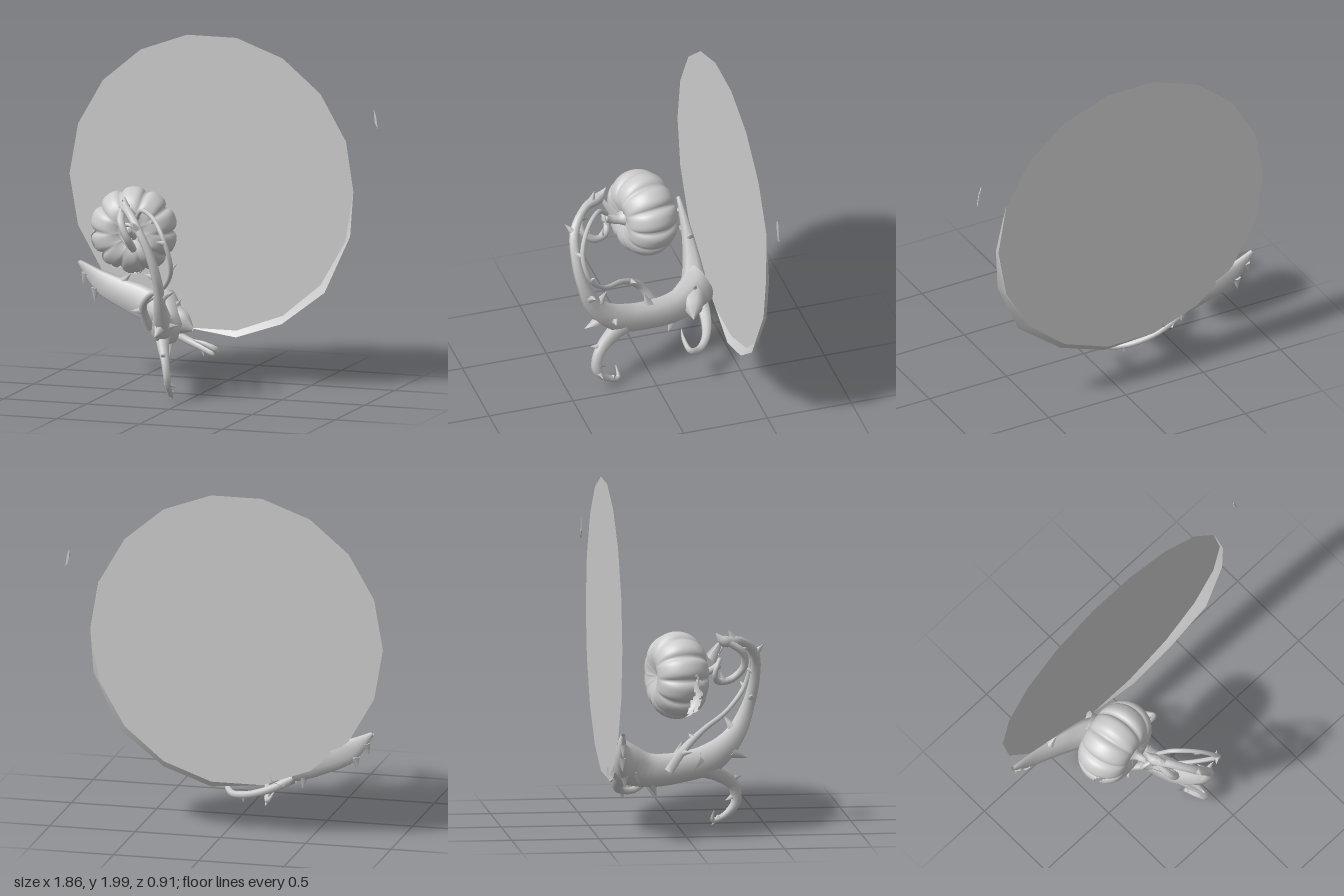
import * as THREE from 'three';

const stone = new THREE.MeshStandardMaterial({ color: 0xcccccc, side: THREE.DoubleSide });
stone.name = 'plain grey';

const V = (p) => new THREE.Vector3(...p);

function add(parent, name, geometry) {
  const mesh = new THREE.Mesh(geometry, stone);
  mesh.name = name;
  parent.add(mesh);
  return mesh;
}

function surface(positions, index) {
  const g = new THREE.BufferGeometry();
  g.setAttribute('position', new THREE.Float32BufferAttribute(positions, 3));
  g.setIndex(index);
  g.computeVertexNormals();
  return g;
}

// Tapered vine. Each station is [x, y, z, radius along ref, radius across].
// Each thorn is [t, angle around the vine, length].
function vine(parent, name, stations, ref, thorns = [], steps = 28, sides = 7) {
  const group = new THREE.Group();
  group.name = name;
  parent.add(group);
  const curve = new THREE.CatmullRomCurve3(stations.map((s) => V(s.slice(0, 3))));
  const frame = (t) => {
    const tangent = curve.getTangent(t);
    const n = V(ref).addScaledVector(tangent, -V(ref).dot(tangent)).normalize();
    const b = new THREE.Vector3().crossVectors(tangent, n);
    const f = t * (stations.length - 1);
    const i = Math.min(Math.floor(f), stations.length - 2);
    const r = [3, 4].map((k) => THREE.MathUtils.lerp(stations[i][k], stations[i + 1][k], f - i));
    return { p: curve.getPoint(t), n, b, r, tangent };
  };
  const around = (f, a) => f.n.clone().multiplyScalar(Math.cos(a) * f.r[0])
    .addScaledVector(f.b, Math.sin(a) * f.r[1]);
  const pos = [], index = [];
  for (let i = 0; i <= steps; i++) {
    const f = frame(i / steps);
    for (let j = 0; j < sides; j++) {
      pos.push(...f.p.clone().add(around(f, (j / sides) * Math.PI * 2)).toArray());
      if (i === steps) continue;
      const a = i * sides + j, b = i * sides + ((j + 1) % sides);
      index.push(a, b, a + sides, b, b + sides, a + sides);
    }
  }
  add(group, name + 'Stalk', surface(pos, index));
  for (const [t, angle, length] of thorns) {
    const f = frame(t), out = around(f, angle);
    const cone = new THREE.ConeGeometry(length * 0.35, length, 5).translate(0, length * 0.35, 0);
    const thorn = add(group, 'thorn', cone);
    thorn.position.copy(f.p).addScaledVector(out, 0.9);
    const dir = out.normalize().addScaledVector(f.tangent, 0.5).normalize();
    thorn.quaternion.setFromUnitVectors(new THREE.Vector3(0, 1, 0), dir);
  }
}

// Ribbed pumpkin with its axis along z and a zigzag mouth cut out
function pumpkinShell() {
  const cols = 120, rows = 48, pos = [], index = [];
  const isMouth = (u, v) => {
    const deg = u * 360, polar = v * 180;
    if (deg < 170 || deg > 285) return false;
    const zig = Math.abs(((deg / 19) % 1) * 2 - 1) * 11;
    const bow = 1 - Math.pow((deg - 227) / 58, 2);
    return polar > 68 - 12 * bow + zig && polar < 70 + 11 * bow + zig * 0.7;
  };
  for (let i = 0; i <= rows; i++) {
    const polar = (i / rows) * Math.PI;
    for (let j = 0; j < cols; j++) {
      const a = (j / cols) * Math.PI * 2;
      const s = Math.sin(polar);
      const rib = 1 - 0.12 * Math.pow(1 - Math.abs(Math.sin(a * 5)), 2);
      const r = 0.25 * Math.pow(s, 0.75) * rib;
      const z = 0.175 * Math.cos(polar) * (1 - 0.35 * Math.pow(1 - s, 3));
      pos.push(r * Math.cos(a), r * Math.sin(a), z);
      if (i === rows || isMouth((j + 0.5) / cols, (i + 0.5) / rows)) continue;
      const k = i * cols + j, m = i * cols + ((j + 1) % cols);
      index.push(k, k + cols, m, m, k + cols, m + cols);
    }
  }
  return surface(pos, index);
}

export function createModel() {
  const model = new THREE.Group();
  model.name = 'pumpkinVineMoon';

  // Moon disc
  const cx = -0.075, cy = 1.155, R = 0.858, back = -0.42;
  add(model, 'moonDisc', new THREE.CircleGeometry(R, 18)).position.set(cx, cy, back);

  // Thin crescent lip leaning forward along the lower right rim
  const lip = [[0.735, 1.45, -0.42], [0.788, 1.16, -0.4], [0.772, 0.9, -0.39], [0.625, 0.57, -0.368],
    [0.36, 0.37, -0.385], [0.08, 0.275, -0.395], [-0.22, 0.31, -0.42]];
  const pos = [], index = [];
  lip.forEach((p, i) => {
    const a = THREE.MathUtils.degToRad(20 - 20 * i);
    pos.push(cx + R * Math.cos(a), cy + R * Math.sin(a), back, ...p);
    if (i) index.push(2 * i - 2, 2 * i, 2 * i - 1, 2 * i - 1, 2 * i, 2 * i + 1);
  });
  add(model, 'moonLip', surface(pos, index));

  // Loose shard beside the disc
  const shard = new THREE.Shape([[0.9, 1.64], [0.915, 1.6], [0.927, 1.52], [0.906, 1.56]]
    .map((p) => new THREE.Vector2(...p)));
  add(model, 'shard', new THREE.ExtrudeGeometry(shard, { depth: 0.008, bevelEnabled: false }))
    .position.z = -0.435;

  // Pumpkin
  const pumpkin = add(model, 'pumpkin', pumpkinShell());
  pumpkin.position.set(-0.41, 0.925, -0.045);
  pumpkin.rotation.y = 0.2;
  vine(model, 'stem', [[-0.385, 0.93, 0.07, 0.055, 0.055], [-0.375, 0.93, 0.11, 0.026, 0.026],
    [-0.365, 0.945, 0.16, 0.02, 0.02], [-0.355, 0.97, 0.2, 0.024, 0.024], [-0.35, 0.98, 0.21, 0.001, 0.001]],
  [1, 0, 0], [], 12);

  // Broad root lying along the lower left rim
  vine(model, 'root', [[-0.87, 0.655, -0.405, 0.012, 0.012], [-0.72, 0.54, -0.4, 0.025, 0.075],
    [-0.5, 0.46, -0.365, 0.05, 0.1], [-0.35, 0.41, -0.33, 0.075, 0.1], [-0.2, 0.36, -0.28, 0.06, 0.07],
    [-0.13, 0.33, -0.26, 0.005, 0.01]], [0, 0, 1],
  [[0.18, 1.6, 0.08], [0.08, 1.6, 0.07], [0.3, 4.7, 0.07], [0.5, 1.6, 0.08], [0.62, 0.9, 0.08], [0.7, 4.7, 0.06]]);

  // Main vine reaching forward, then up and over the pumpkin
  vine(model, 'mainVine', [[-0.33, 0.43, -0.38, 0.08, 0.13], [-0.25, 0.36, -0.2, 0.07, 0.1],
    [-0.2, 0.365, 0, 0.065, 0.09], [-0.16, 0.41, 0.18, 0.06, 0.09], [-0.12, 0.53, 0.32, 0.035, 0.06],
    [-0.105, 0.7, 0.4, 0.028, 0.038], [-0.14, 0.87, 0.435, 0.025, 0.03], [-0.22, 1.02, 0.42, 0.024, 0.028],
    [-0.31, 1.1, 0.33, 0.024, 0.024], [-0.37, 1.11, 0.23, 0.035, 0.035], [-0.385, 1.16, 0.18, 0.002, 0.002]],
  [1, 0, 0], [[0.12, 4.7, 0.09], [0.2, 1.6, 0.09], [0.33, 0, 0.07], [0.36, 4.7, 0.1], [0.42, 1.6, 0.08],
    [0.46, 0.2, 0.08], [0.53, 3.1, 0.06], [0.62, 1.6, 0.05], [0.7, 4.7, 0.06], [0.76, 1.6, 0.06], [0.85, 4.7, 0.06]], 48);

  // Pointed leaf where the vine meets the stem
  const leaf = add(model, 'leaf', new THREE.ConeGeometry(0.05, 0.17, 4).scale(1, 1, 0.4));
  leaf.position.set(-0.36, 1.08, 0.2);
  leaf.rotation.set(0.4, 0.6, 0.25);

  // Curl looping below the leaf and round the stem
  vine(model, 'curl', [[-0.37, 1.1, 0.26, 0.02, 0.02], [-0.35, 1.04, 0.34, 0.022, 0.022],
    [-0.31, 0.95, 0.35, 0.022, 0.022], [-0.3, 0.88, 0.28, 0.022, 0.022], [-0.34, 0.875, 0.2, 0.02, 0.02],
    [-0.4, 0.92, 0.175, 0.016, 0.016], [-0.4, 0.98, 0.19, 0.013, 0.013], [-0.34, 1.0, 0.21, 0.012, 0.012],
    [-0.3, 0.95, 0.2, 0.002, 0.002]], [1, 0, 0], [[0.45, 4.7, 0.05]], 40);

  // Thin tendril arching beside the pumpkin
  vine(model, 'tendril', [[-0.33, 0.36, -0.08, 0.03, 0.03], [-0.34, 0.48, 0, 0.026, 0.026],
    [-0.26, 0.58, 0.12, 0.016, 0.016], [-0.11, 0.67, 0.28, 0.013, 0.013], [-0.03, 0.8, 0.39, 0.015, 0.015],
    [-0.06, 0.96, 0.425, 0.014, 0.014], [-0.14, 1.07, 0.37, 0.013, 0.013], [-0.25, 1.1, 0.27, 0.014, 0.014],
    [-0.31, 1.03, 0.2, 0.012, 0.012]], [0.6, 0, -0.8],
  [[0.12, 3, 0.06], [0.2, 0, 0.06], [0.5, 0, 0.04], [0.62, 3, 0.05], [0.75, 1.6, 0.04]], 40, 6);

  // Front foot hooking down to the ground
  vine(model, 'footVine', [[-0.19, 0.39, 0.08, 0.06, 0.08], [-0.14, 0.32, 0.22, 0.035, 0.05],
    [-0.09, 0.24, 0.315, 0.024, 0.035], [-0.07, 0.14, 0.335, 0.02, 0.03], [-0.08, 0.065, 0.27, 0.018, 0.02],
    [-0.1, 0.04, 0.2, 0.015, 0.015], [-0.14, 0.1, 0.2, 0.003, 0.003]], [1, 0, 0],
  [[0.3, 1.6, 0.05], [0.45, 4.7, 0.05], [0.55, 0, 0.04]]);
  const claw = add(model, 'footTip', new THREE.ConeGeometry(0.018, 0.07, 5));
  claw.position.set(-0.088, 0.033, 0.215);
  claw.rotation.x = -2.4;

  // Rear horn curling forward under the disc
  vine(model, 'rearHorn', [[-0.4, 0.35, -0.36, 0.03, 0.05], [-0.25, 0.27, -0.365, 0.022, 0.035],
    [-0.1, 0.22, -0.325, 0.02, 0.025], [0, 0.205, -0.25, 0.02, 0.02], [0.035, 0.235, -0.185, 0.02, 0.015],
    [-0.03, 0.27, -0.17, 0.014, 0.012], [-0.11, 0.29, -0.18, 0.002, 0.002]], [0, 1, 0],
  [[0.35, 3.1, 0.04]]);

  return model;
}
